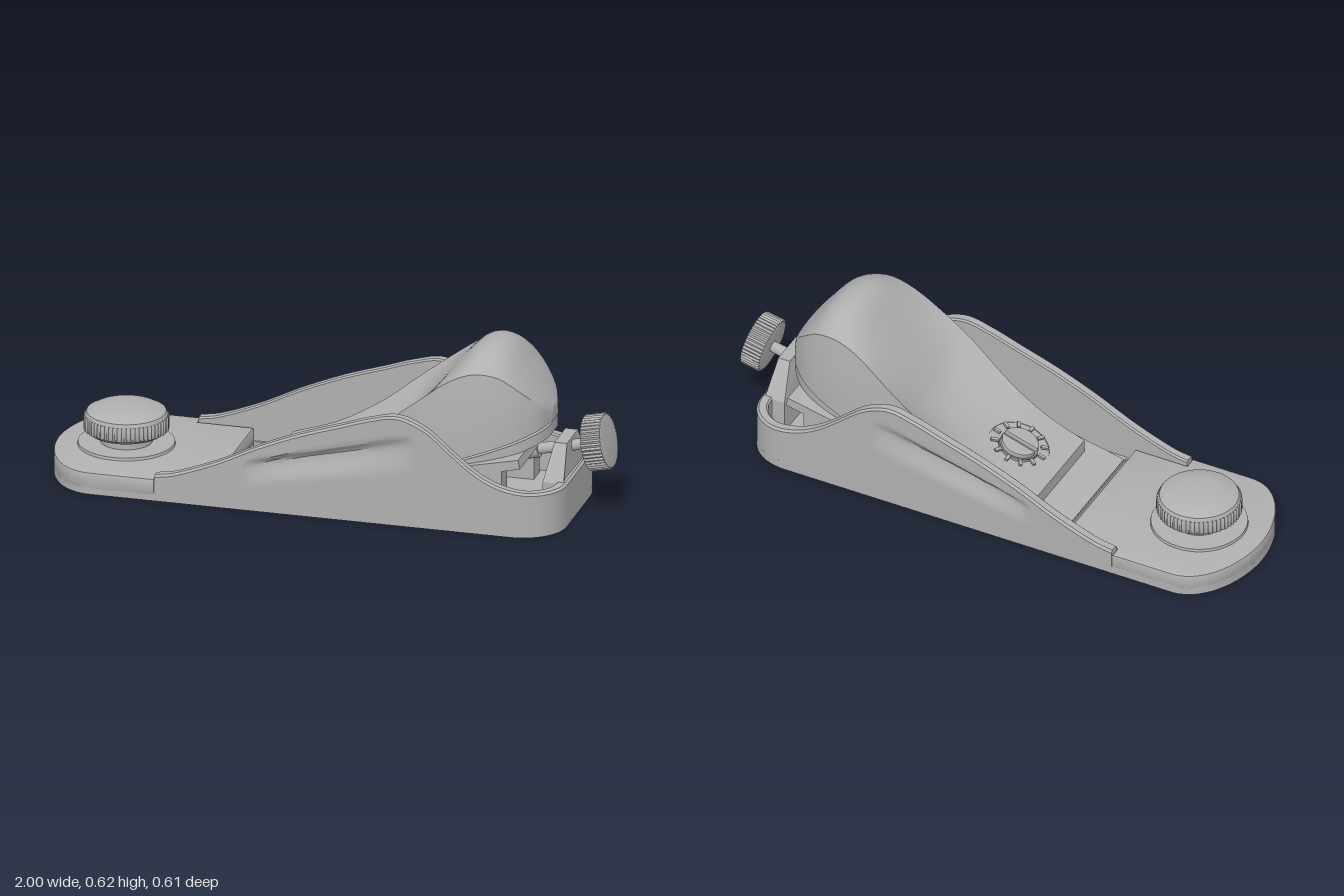
import * as THREE from 'three';
import { toCreasedNormals } from 'three/addons/utils/BufferGeometryUtils.js';

const castMetal = new THREE.MeshStandardMaterial({ color: 0xb0b0b0 });
castMetal.name = 'grey cast metal';

function add(parent, name, geometry, x = 0, y = 0, z = 0, tilt = 0) {
  const mesh = new THREE.Mesh(geometry, castMetal);
  mesh.name = name;
  mesh.position.set(x, y, z);
  mesh.rotation.z = tilt;
  parent.add(mesh);
  return mesh;
}

// Smooth function through a few [x, y] points
function curve(p) {
  const slope = i => {
    const a = p[Math.max(i - 1, 0)], b = p[Math.min(i + 1, p.length - 1)];
    return (b[1] - a[1]) / (b[0] - a[0]);
  };
  return x => {
    let i = 0;
    while (i < p.length - 2 && x > p[i + 1][0]) i++;
    const d = p[i + 1][0] - p[i][0];
    const t = THREE.MathUtils.clamp((x - p[i][0]) / d, 0, 1), s = 1 - t;
    return p[i][1] * (1 + 2 * t) * s * s + slope(i) * d * t * s * s
      + p[i + 1][1] * t * t * (3 - 2 * t) - slope(i + 1) * d * t * t * s;
  };
}

// Skin over closed rings of [x, y, z] points, with both ends capped
function loft(rings, crease = 0.6) {
  const n = rings[0].length, index = [];
  rings.forEach((r, i) => {
    if (i === rings.length - 1) return;
    for (let j = 0; j < n; j++) {
      const a = i * n + j, b = i * n + (j + 1) % n;
      index.push(a, a + n, b + n, a, b + n, b);
    }
  });
  const last = (rings.length - 1) * n;
  for (let k = 1; k < n - 1; k++) index.push(0, k, k + 1, last, last + k + 1, last + k);
  const g = new THREE.BufferGeometry();
  g.setAttribute('position', new THREE.Float32BufferAttribute(rings.flat(2), 3));
  g.setIndex(index);
  return toCreasedNormals(g, crease);
}

// Flat plan shape raised upwards
function slab(shape, depth, bevel = 0) {
  const g = new THREE.ExtrudeGeometry(shape, {
    depth: depth - 2 * bevel, bevelEnabled: bevel > 0, bevelSize: bevel, bevelThickness: bevel,
    bevelOffset: -bevel, bevelSegments: 2, curveSegments: 20
  });
  return toCreasedNormals(g.translate(0, 0, bevel).rotateX(-Math.PI / 2), 0.5);
}

function rect(x0, x1, z0, z1) {
  return new THREE.Path([[x0, z0], [x1, z0], [x1, z1], [x0, z1]].map(p => new THREE.Vector2(...p)));
}

// Toothed disc, axis along y, base at y = 0
function knurledDisc(r, height, teeth, bevel) {
  const pts = [];
  for (let i = 0; i < teeth * 2; i++) {
    const a = i * Math.PI / teeth, q = i % 2 ? r : r - 0.005;
    pts.push(new THREE.Vector2(Math.cos(a) * q, Math.sin(a) * q));
  }
  return slab(new THREE.Shape(pts), height, bevel);
}

function lathe(points, segments = 48) {
  return toCreasedNormals(new THREE.LatheGeometry(points.map(p => new THREE.Vector2(...p)), segments), 0.5);
}

function buildBody(group) {
  // Sole with mouth and toe grooves
  const sole = new THREE.Shape();
  sole.moveTo(-0.8, -0.305);
  sole.lineTo(0.7, -0.305);
  sole.bezierCurveTo(0.8, -0.305, 0.87, -0.24, 0.87, -0.15);
  sole.lineTo(0.87, 0.15);
  sole.bezierCurveTo(0.87, 0.24, 0.8, 0.305, 0.7, 0.305);
  sole.lineTo(-0.8, 0.305);
  sole.bezierCurveTo(-0.93, 0.305, -1, 0.13, -1, 0);
  sole.bezierCurveTo(-1, -0.13, -0.93, -0.305, -0.8, -0.305);
  sole.holes.push(rect(-0.37, -0.338, -0.255, 0.255), rect(-0.78, -0.735, -0.1, 0.1));
  for (const s of [-1, 1]) {
    const a = s < 0 ? -0.255 : 0.1, b = s < 0 ? -0.1 : 0.255;
    sole.holes.push(rect(-0.585, -0.56, a, b), rect(-0.73, -0.59, s * 0.1 - 0.003, s * 0.1 + 0.003));
  }
  add(group, 'sole', slab(sole, 0.03));

  // Toe plate with its narrower tongue between the walls
  const toe = new THREE.Shape();
  toe.moveTo(-0.8, -0.305);
  toe.lineTo(-0.572, -0.305);
  toe.lineTo(-0.572, -0.262);
  toe.lineTo(-0.372, -0.262);
  toe.lineTo(-0.372, 0.262);
  toe.lineTo(-0.572, 0.262);
  toe.lineTo(-0.572, 0.305);
  toe.lineTo(-0.8, 0.305);
  toe.bezierCurveTo(-0.93, 0.305, -1, 0.13, -1, 0);
  toe.bezierCurveTo(-1, -0.13, -0.93, -0.305, -0.8, -0.305);
  add(group, 'toePlate', slab(toe, 0.064, 0.007), 0, 0.016);

  // Wall running along one side, round the heel and back, with finger hollows
  const height = curve([[-0.57, 0.095], [-0.5, 0.108], [-0.35, 0.165], [-0.2, 0.238], [-0.05, 0.3], [0.1, 0.35],
    [0.2, 0.383], [0.3, 0.402], [0.4, 0.365], [0.5, 0.283], [0.57, 0.228], [0.65, 0.185], [0.75, 0.164], [0.87, 0.16]]);
  const half = [];
  for (let i = 0; i < 80; i++) half.push([-0.57 + 1.27 * i / 80, 0.305]);
  const corner = new THREE.CubicBezierCurve(...[[0.7, 0.305], [0.8, 0.305], [0.87, 0.24], [0.87, 0.15]]
    .map(p => new THREE.Vector2(...p)));
  corner.getPoints(16).forEach(p => half.push([p.x, p.y]));
  const path = half.concat(half.map(([x, z]) => [x, -z]).reverse());
  const hollow = (x, y) => {
    const u = (x + 0.25) / 0.61, v = (y - 0.09 - 0.11 * u) / (0.095 + 0.05 * u);
    if (u <= 0 || u >= 1 || v <= 0 || v >= 1) return 0;
    const f = v < 0.75 ? v / 0.75 : (1 - v) / 0.25;
    return 0.025 * Math.sqrt(Math.sin(Math.PI * u)) * f * f * (3 - 2 * f);
  };
  const rings = path.map(([x, z], i) => {
    const a = path[Math.max(i - 1, 0)], b = path[Math.min(i + 1, path.length - 1)];
    const len = Math.hypot(b[0] - a[0], b[1] - a[1]);
    const nx = -(b[1] - a[1]) / len, nz = (b[0] - a[0]) / len, h = height(x), ring = [];
    const put = (inset, y) => ring.push([x - nx * inset, y, z - nz * inset]);
    for (let j = 0; j <= 28; j++) {
      const y = (h - 0.008) * j / 28;
      put(hollow(x, y), y);
    }
    put(0.008, h);
    put(0.034, h);
    put(0.04, h - 0.006);
    put(0.04, 0);
    return ring;
  });
  add(group, 'sideWalls', loft(rings, 0.5));

  // Blade bed: front ramp and two rails
  const bed = (x0, x1, width, z, name) => {
    const y = x => 0.002 + 0.2186 * (x + 0.335);
    const s = new THREE.Shape([[x0, 0.005], [x1, 0.005], [x1, y(x1)], [x0, Math.max(y(x0), 0.006)]]
      .map(p => new THREE.Vector2(...p)));
    const g = new THREE.ExtrudeGeometry(s, { depth: width, bevelEnabled: false });
    add(group, name, g, 0, 0, z - width / 2);
  };
  bed(-0.31, -0.05, 0.5, 0, 'bedRamp');
  for (const s of [-1, 1]) bed(-0.05, 0.66, 0.07, s * 0.207, 'bedRail');
}

function buildLeverCap(group) {
  const width = curve([[-0.21, 0.19], [0, 0.207], [0.3, 0.237], [0.5, 0.234], [0.6, 0.22], [0.68, 0.19],
    [0.73, 0.152], [0.765, 0.105], [0.785, 0.04]]);
  const crown = curve([[-0.21, 0.11], [-0.05, 0.16], [0.1, 0.21], [0.25, 0.29], [0.35, 0.405], [0.45, 0.525],
    [0.52, 0.598], [0.58, 0.616], [0.64, 0.593], [0.7, 0.52], [0.75, 0.45], [0.785, 0.39]]);
  const edge = curve([[-0.21, 0.11], [-0.05, 0.162], [0.1, 0.245], [0.25, 0.36], [0.35, 0.437], [0.45, 0.51],
    [0.52, 0.543], [0.58, 0.55], [0.64, 0.533], [0.7, 0.485], [0.75, 0.43], [0.785, 0.38]]);
  const base = curve([[-0.21, 0.062], [0.3, 0.178], [0.5, 0.24], [0.785, 0.34]]);

  // Palm rest with hollowed middle and domed heel
  const rings = [];
  for (let i = 0; i <= 90; i++) {
    const x = -0.21 + 0.995 * Math.sin(i / 90 * Math.PI / 2), w = width(x), b = base(x), e = edge(x), c = crown(x);
    const top = w * (1 - 0.1 * THREE.MathUtils.smoothstep(x, 0.2, 0.55)), ring = [];
    const side = t => THREE.MathUtils.lerp(w, top, t * t);
    for (let j = 0; j < 6; j++) ring.push([x, b + (e - b) * j / 6, side(j / 6)]);
    for (let j = 0; j <= 24; j++) {
      const t = 1 - j / 12;
      ring.push([x, c + (e - c) * Math.abs(t) ** 2.2, t * top]);
    }
    for (let j = 5; j >= 0; j--) ring.push([x, b + (e - b) * j / 6, -side(j / 6)]);
    rings.push(ring);
  }
  add(group, 'leverCap', loft(rings, 0.45));

  // Clamping pad under the heel of the cap
  const pad = [];
  for (let i = 0; i <= 30; i++) {
    const x = 0.3 + 0.48 * Math.sin(i / 30 * Math.PI / 2), w = width(x) * 0.96, b = base(x);
    pad.push([[x, b - 0.05, w], [x, b - 0.01, w], [x, b - 0.01, -w], [x, b - 0.05, -w]]);
  }
  add(group, 'clampPad', loft(pad));

  // Slotted cap screw in a notched washer
  const screw = new THREE.Group();
  screw.name = 'capScrew';
  screw.position.set(-0.05, 0.155, 0);
  screw.rotation.z = 0.3;
  add(screw, 'screwWasher', lathe([[0.072, 0], [0.075, 0.018], [0.1, 0.018], [0.11, 0.008], [0.11, -0.03]]));
  add(screw, 'screwCore', new THREE.CylinderGeometry(0.07, 0.07, 0.04, 32), 0, -0.006, 0);
  for (const s of [0, Math.PI]) {
    const head = new THREE.Shape();
    head.absarc(0, 0, 0.066, s + 0.14, s + Math.PI - 0.14, false);
    add(screw, 'screwHead', slab(head, 0.02, 0.004), 0, 0.012);
  }
  for (let i = 0; i < 12; i++) {
    const a = i * Math.PI / 6;
    add(screw, 'washerTooth', new THREE.BoxGeometry(0.026, 0.008, 0.012),
      Math.cos(a) * 0.09, 0.019, Math.sin(a) * 0.09).rotation.y = -a;
  }
  group.add(screw);
}

function buildBladeAndAdjuster(group) {
  // Blade
  add(group, 'blade', new THREE.BoxGeometry(1.08, 0.034, 0.49), 0.196, 0.133, 0, Math.atan(0.2186));

  // Post holding the adjuster
  const post = new THREE.Shape([[-0.15, 0.02], [0.15, 0.02], [0.15, 0.155], [0.07, 0.275], [-0.07, 0.275], [-0.15, 0.155]]
    .map(p => new THREE.Vector2(...p)));
  const g = new THREE.ExtrudeGeometry(post, { depth: 0.075, bevelEnabled: false }).rotateY(Math.PI / 2);
  const p = g.attributes.position;
  for (let i = 0; i < p.count; i++) if (p.getY(i) > 0.2) p.setX(i, 0.02 + p.getX(i) * 0.6);
  g.computeVertexNormals();
  add(group, 'adjusterPost', g, 0.782);

  // Threaded rod and knurled wheel
  const tilt = 0.21 - Math.PI / 2;
  add(group, 'adjusterRod', new THREE.CylinderGeometry(0.02, 0.02, 0.4, 20), 0.74, 0.221, 0, tilt);
  add(group, 'adjusterCollar', new THREE.CylinderGeometry(0.032, 0.032, 0.18, 20), 0.64, 0.2, 0, tilt);
  add(group, 'adjusterWheel', knurledDisc(0.1, 0.076, 44, 0.007), 0.905, 0.257, 0, tilt);
}

function buildFrontKnob(group) {
  const knob = new THREE.Group();
  knob.name = 'frontKnob';
  knob.position.set(-0.755, 0.08, 0);
  add(knob, 'knobWasher', new THREE.CylinderGeometry(0.168, 0.17, 0.012, 56), 0, 0.004, 0);
  add(knob, 'knobBody', lathe([[0.09, 0], [0.09, 0.035], [0.1, 0.042], [0.13, 0.046], [0.145, 0.06], [0.145, 0.108],
    [0.138, 0.122], [0.115, 0.134], [0.07, 0.142], [0, 0.145]], 56));
  add(knob, 'knobGrip', knurledDisc(0.149, 0.054, 60, 0.004), 0, 0.056);
  group.add(knob);
}

export function createModel() {
  const model = new THREE.Group();
  model.name = 'blockPlane';
  buildBody(model);
  buildLeverCap(model);
  buildBladeAndAdjuster(model);
  buildFrontKnob(model);
  return model;
}
